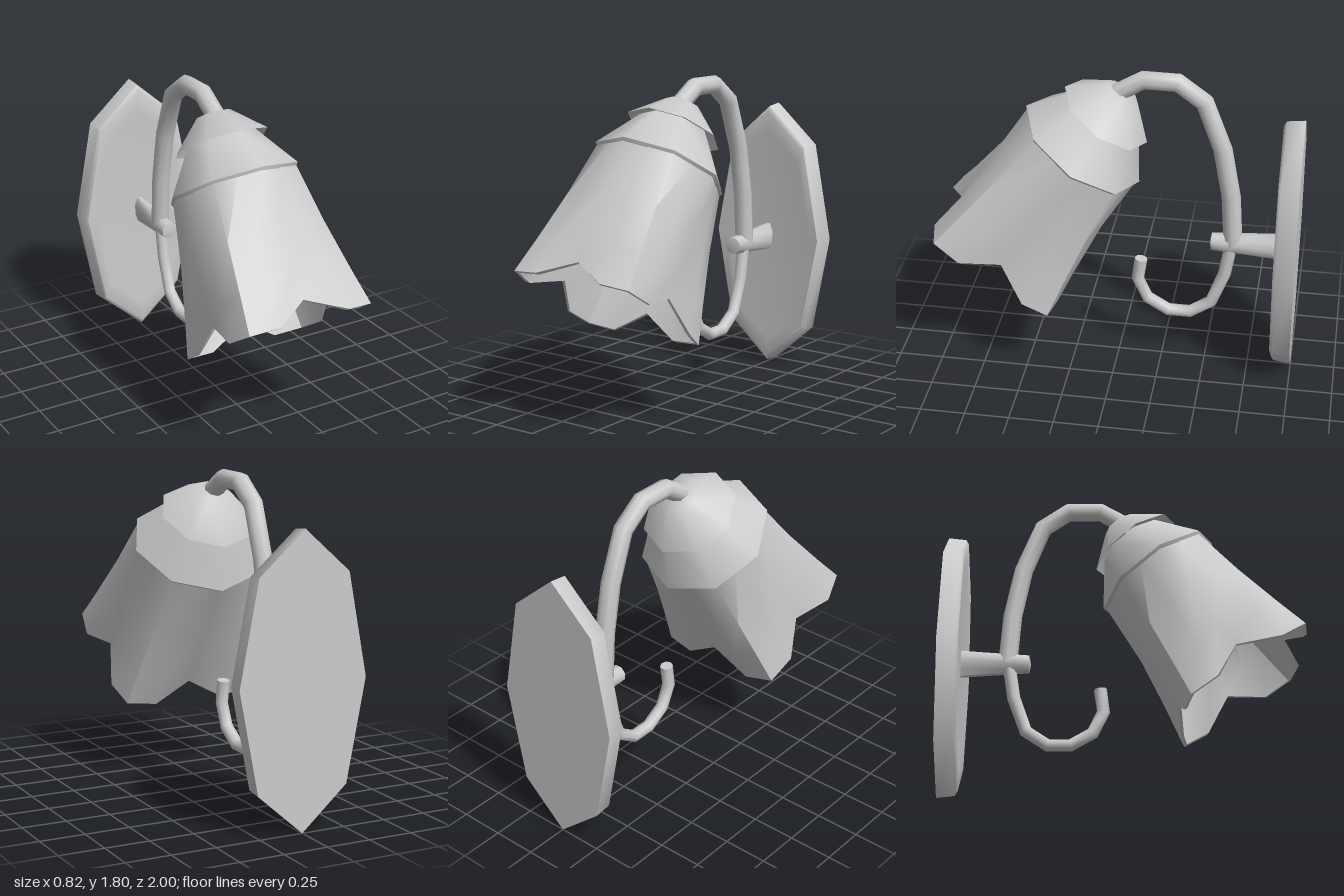
import * as THREE from 'three';
import { toCreasedNormals } from 'three/addons/utils/BufferGeometryUtils.js';

const material = new THREE.MeshStandardMaterial({ color: 0xcccccc, side: THREE.DoubleSide });

function addMesh(parent, name, geometry) {
  const mesh = new THREE.Mesh(geometry, material);
  mesh.name = name;
  parent.add(mesh);
  return mesh;
}

// Skin a stack of closed rings, each an array of [x, y, z] running from +z towards +x
function loft(rings, crease) {
  const n = rings[0].length, index = [];
  for (let j = 0; j < rings.length - 1; j++) {
    for (let i = 0; i < n; i++) {
      const a = j * n + i, b = j * n + (i + 1) % n;
      index.push(a, b, b + n, a, b + n, a + n);
    }
  }
  const geo = new THREE.BufferGeometry();
  geo.setAttribute('position', new THREE.Float32BufferAttribute(rings.flat(2), 3));
  geo.setIndex(index);
  geo.computeVertexNormals();
  return toCreasedNormals(geo, crease);
}

// Eight-sided turned part
function turned(profile, crease) {
  const geo = new THREE.LatheGeometry(profile.map(([r, y]) => new THREE.Vector2(r, y)), 8);
  return toCreasedNormals(geo, crease);
}

// Tube in the x = 0 plane with one segment per [z, y] point
function bentTube(points, radius) {
  const curve = new THREE.CatmullRomCurve3(points.map(([z, y]) => new THREE.Vector3(0, y, z)));
  curve.getPointAt = curve.getPoint;
  curve.getTangentAt = curve.getTangent;
  return new THREE.TubeGeometry(curve, points.length - 1, radius, 8);
}

// Bell shade: octagonal at the top, four notched petals at the mouth
function shadeGeometry() {
  const quarter = [[0, 0.36, -0.72], [0.22, 0.41, -0.83], [0.38, 0.37, -0.83], [0.41, 0.2, -0.83]];
  const mouth = [];
  for (let q = 0; q < 4; q++) {
    const c = Math.cos(q * Math.PI / 2), s = Math.sin(q * Math.PI / 2);
    for (const [x, z, y] of quarter) mouth.push([x * c + z * s, y, z * c - x * s]);
  }
  const ring = (t, inset) => mouth.map(([x, y, z], i) => {
    const r = i % 2 ? 0.36 * Math.cos(Math.PI / 8) : 0.36;
    const angle = i * Math.PI / 8, k = Math.pow(t, 1.2);
    return [
      THREE.MathUtils.lerp(r * Math.sin(angle), x, k) * inset,
      y * t,
      THREE.MathUtils.lerp(r * Math.cos(angle), z, k) * inset,
    ];
  });
  const steps = [0, 0.4, 0.75, 1];
  return loft([
    ...steps.map(t => ring(t, 0.95)),
    ...steps.slice().reverse().map(t => ring(t, 1)),
  ], 0.9);
}

export function createModel() {
  const model = new THREE.Group();
  model.name = 'wallLamp';

  // Tall octagonal wall plate with a slightly dished front
  const plate = new THREE.LatheGeometry(
    [[0, -1], [1, -1], [0.985, -0.9], [0.95, -0.885], [0.8, -0.89], [0, -0.9]]
      .map(([r, y]) => new THREE.Vector2(r, y)), 8);
  plate.scale(0.37, 1, 0.79).rotateX(Math.PI / 2).translate(0, 0.79, 0);
  addMesh(model, 'wallPlate', toCreasedNormals(plate, 0.9));

  // Stem, flaring vertically towards the plate
  const stemRing = ([z, rx, ry]) => Array.from({ length: 8 }, (_, i) => {
    const a = (i + 0.5) * Math.PI / 4;
    return [rx * Math.sin(a), z, ry * Math.cos(a)];
  });
  const stem = loft([[-0.92, 0.03, 0.085], [-0.6, 0.05, 0.056], [-0.52, 0.05, 0.05], [-0.51, 0, 0]]
    .map(stemRing), 0.9);
  addMesh(model, 'stem', stem.rotateX(Math.PI / 2).translate(0, 0.785, 0));

  // Upper arm carrying the shade, and the lower curl with its closed tip
  addMesh(model, 'upperArm', bentTube([[0.04, 1.65], [-0.13, 1.752], [-0.315, 1.75], [-0.46, 1.645],
    [-0.565, 1.37], [-0.62, 1.08], [-0.64, 0.78]], 0.053));
  addMesh(model, 'lowerCurl', bentTube([[-0.635, 0.8], [-0.6, 0.58], [-0.53, 0.385], [-0.41, 0.303],
    [-0.285, 0.303], [-0.165, 0.375], [-0.107, 0.5], [-0.125, 0.632]], 0.036));
  const tip = addMesh(model, 'curlTip', new THREE.CircleGeometry(0.036, 8));
  tip.position.set(0, 0.632, -0.125);
  tip.rotation.x = -Math.PI / 2 - 0.15;

  // Tilted lamp head: origin at the shade's top rim, local y along its axis
  const head = new THREE.Group();
  head.name = 'lampHead';
  head.position.set(0, 1.34, 0.2);
  head.rotation.x = -0.593;
  model.add(head);
  addMesh(head, 'cap', turned([[0.27, 0.229], [0.1, 0.39], [0, 0.41]], 0.9));
  addMesh(head, 'collar', turned([[0.35, -0.03], [0.375, 0], [0.2, 0.25]], 0.9));
  addMesh(head, 'shade', shadeGeometry());

  return model;
}
